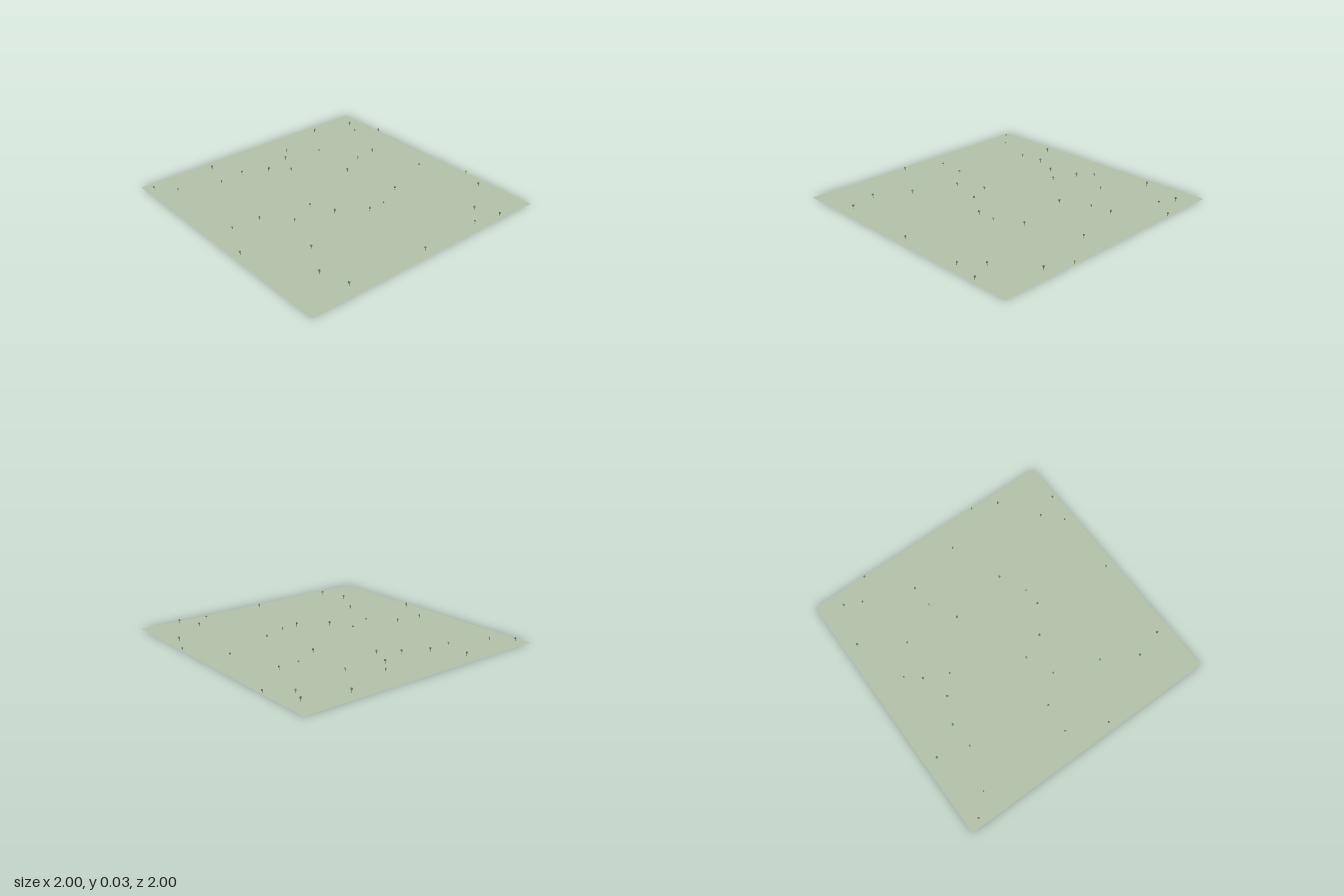
import * as THREE from 'three';

// Tree spots: x, z, scale
const SPOTS = [
  [-0.945, -0.91, 0.85], [-0.82, -0.78, 0.65], [-0.445, -0.905, 0.95], [-0.51, -0.675, 0.7],
  [-0.32, -0.685, 0.95], [-0.13, -0.6, 1], [0.08, -0.665, 0.95], [0.17, -0.77, 0.7],
  [0, -0.49, 0.85], [0.37, -0.605, 0.7], [0.57, -0.905, 1], [0.885, -0.82, 1],
  [0.83, -0.695, 0.8], [0.99, -0.575, 0.8], [0.69, -0.325, 0.9], [0.525, -0.312, 0.65],
  [0.32, -0.203, 0.95], [-0.815, -0.08, 0.75], [-0.6, -0.065, 0.85], [-0.43, 0.107, 0.75],
  [-0.225, 0.02, 0.85], [-0.145, 0.197, 1], [-0.945, 0.2, 0.9], [-0.55, 0.437, 0.85],
  [0.06, 0.335, 0.95], [0.195, 0.33, 0.65], [0.4, 0.235, 0.9], [0.8, 0.09, 0.8],
  [0.99, 0.4, 0.7], [0.91, 0.59, 0.95], [0.63, 0.795, 0.9], [0.495, 0.92, 0.8],
  [0.705, 0.963, 0.85], [0, 0.93, 0.85], [-0.63, 0.9, 1], [-0.69, 0.69, 1],
];

export function createModel() {
  const grass = new THREE.MeshStandardMaterial({ color: 0xb4c2aa, side: THREE.DoubleSide });
  grass.name = 'pale grass';
  const leaves = new THREE.MeshStandardMaterial({ color: 0x6f8566, flatShading: true });
  leaves.name = 'leaf green';
  const bark = new THREE.MeshStandardMaterial({ color: 0x6b5a48 });
  bark.name = 'bark brown';

  const model = new THREE.Group();
  model.name = 'field';

  // Flat ground sheet
  const ground = new THREE.Mesh(new THREE.PlaneGeometry(2, 2).rotateX(-Math.PI / 2), grass);
  ground.name = 'ground';
  model.add(ground);

  // Small round trees: thin trunk and faceted crown
  const trunkGeo = new THREE.CylinderGeometry(0.0012, 0.0018, 0.02, 6).translate(0, 0.01, 0);
  const crownGeo = new THREE.IcosahedronGeometry(0.0085, 1).translate(0, 0.026, 0);
  SPOTS.forEach(([x, z, s], i) => {
    const tree = new THREE.Group();
    tree.name = `tree${i + 1}`;
    const trunk = new THREE.Mesh(trunkGeo, bark);
    trunk.name = 'trunk';
    const crown = new THREE.Mesh(crownGeo, leaves);
    crown.name = 'crown';
    tree.add(trunk, crown);
    tree.position.set(x, 0, z);
    tree.rotation.y = i * 2.4;
    tree.scale.setScalar(s);
    model.add(tree);
  });
  return model;
}
